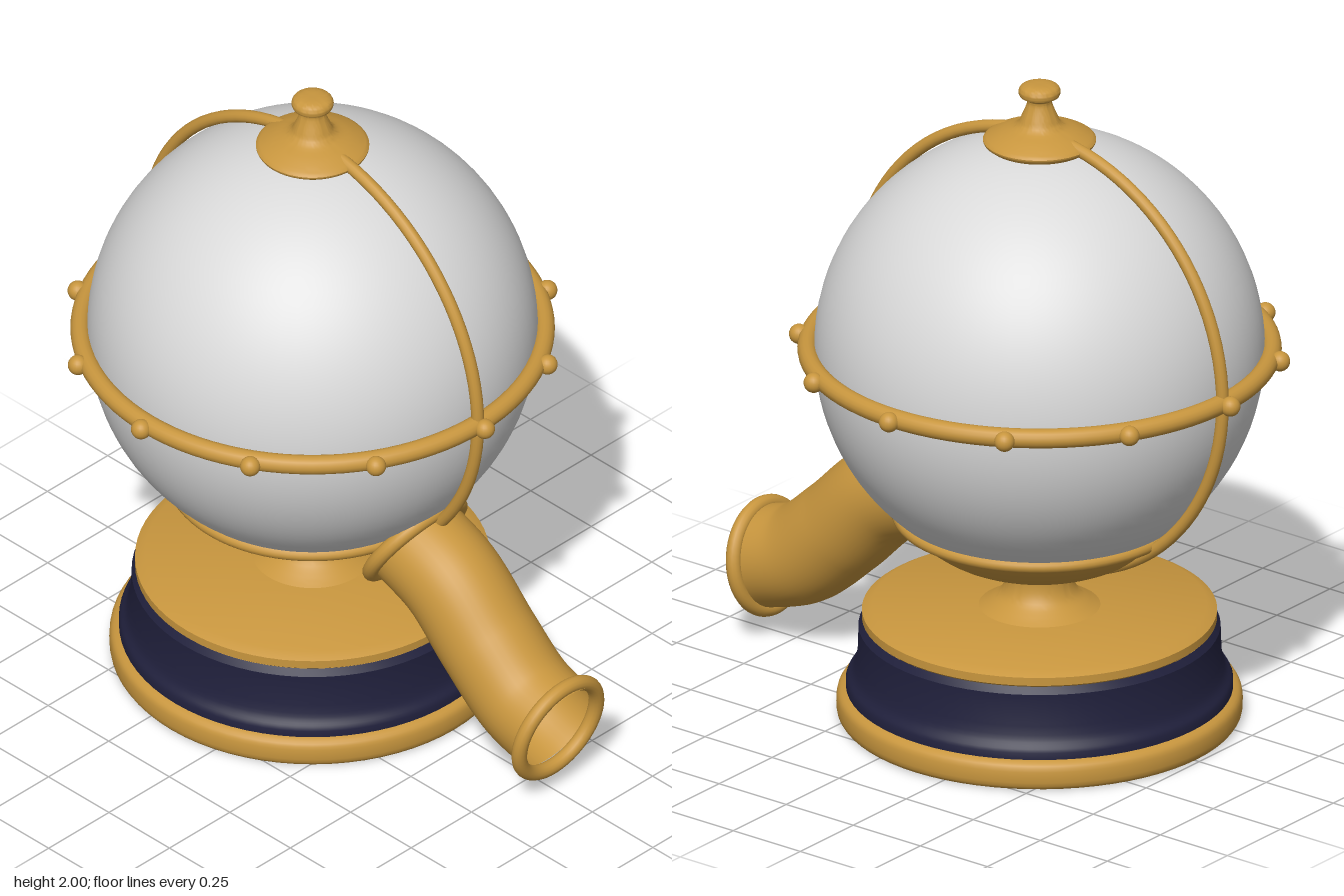
import * as THREE from 'three';
import { toCreasedNormals } from 'three/addons/utils/BufferGeometryUtils.js';

export function createModel() {
  const model = new THREE.Group();
  model.name = 'globeDispenser';

  const gold = new THREE.MeshStandardMaterial({ color: 0xc8963e, side: THREE.DoubleSide });
  gold.name = 'gold';
  const white = new THREE.MeshStandardMaterial({ color: 0xd9d9d9 });
  white.name = 'pale grey';
  const navy = new THREE.MeshStandardMaterial({ color: 0x20203c });
  navy.name = 'navy';

  const axisX = -0.155, globeY = 1.16;

  function add(name, geometry, material, x = axisX, y = 0, z = 0) {
    const mesh = new THREE.Mesh(geometry, material);
    mesh.name = name;
    mesh.position.set(x, y, z);
    model.add(mesh);
    return mesh;
  }
  const vecs = (pts) => pts.map(([x, y]) => new THREE.Vector2(x, y));
  const curved = (pts, n) => new THREE.SplineCurve(vecs(pts)).getPoints(n);
  const turned = (points) => toCreasedNormals(new THREE.LatheGeometry(points, 72), 0.6);

  // Stepped pedestal: gold foot, navy drum, gold top plate
  add('foot', turned([
    ...vecs([[0, 0], [0.575, 0]]),
    ...curved([[0.585, 0.004], [0.594, 0.02], [0.594, 0.06], [0.585, 0.08], [0.565, 0.09]], 10),
    ...vecs([[0, 0.09]]),
  ]), gold);
  add('drum', turned([
    ...vecs([[0.567, 0.085], [0.567, 0.11]]),
    ...curved([[0.562, 0.12], [0.545, 0.145], [0.533, 0.19]], 8),
    ...vecs([[0.53, 0.28], [0.515, 0.3]]),
  ]), navy);
  add('topPlate', turned(vecs([
    [0.4, 0.297], [0.51, 0.297], [0.52, 0.305], [0.52, 0.33], [0.49, 0.345], [0, 0.345],
  ])), gold);

  // Flared stem opening into the shallow bowl
  add('stem', turned(curved([
    [0.178, 0.345], [0.15, 0.362], [0.115, 0.39], [0.1, 0.43], [0.105, 0.475], [0.15, 0.5],
  ], 20)), gold);
  add('bowl', turned([
    ...curved([[0.09, 0.465], [0.19, 0.488], [0.29, 0.53], [0.36, 0.58], [0.385, 0.605]], 16),
    ...vecs([[0.41, 0.625], [0.41, 0.645]]),
  ]), gold);
  const rim = add('bowlRim', new THREE.TorusGeometry(0.414, 0.02, 14, 72), gold, axisX, 0.64);
  rim.rotation.x = Math.PI / 2;

  // Globe with its two hoops
  add('globe', new THREE.SphereGeometry(0.66, 72, 48), white, axisX, globeY);
  const equator = add('equatorHoop', new THREE.TorusGeometry(0.68, 0.029, 16, 96), gold, axisX, globeY);
  equator.rotation.x = Math.PI / 2;
  add('meridianHoop', new THREE.TorusGeometry(0.682, 0.019, 14, 96), gold, axisX, globeY);

  // Beads around the equator
  const bead = new THREE.SphereGeometry(0.03, 20, 14);
  for (let i = 0; i < 12; i++) {
    const a = i * Math.PI / 6;
    add('bead', bead, gold, axisX + Math.cos(a) * 0.711, globeY, Math.sin(a) * 0.711);
  }

  // Cap and finial
  add('cap', turned([
    ...vecs([[0, 1.805], [0.15, 1.805]]),
    ...curved([[0.163, 1.815], [0.163, 1.828], [0.12, 1.85], [0.07, 1.87], [0.052, 1.9],
      [0.036, 1.942], [0.042, 1.955]], 24),
    ...curved([[0.058, 1.962], [0.062, 1.975], [0.055, 1.99], [0.035, 1.998], [0, 2]], 12),
  ]), gold);

  // Curved spout with a collar at each end
  const path = new THREE.CatmullRomCurve3([
    [0.265, 0.615], [0.42, 0.545], [0.575, 0.4], [0.72, 0.28], [0.858, 0.232],
  ].map(([x, y]) => new THREE.Vector3(x, y, 0)));
  add('spout', new THREE.TubeGeometry(path, 48, 0.153, 40), gold, 0, 0);

  const forward = new THREE.Vector3(0, 0, 1);
  function facing(mesh, dx, dy) {
    mesh.quaternion.setFromUnitVectors(forward, new THREE.Vector3(dx, dy, 0).normalize());
  }
  facing(add('spoutInnerCollar', new THREE.TorusGeometry(0.163, 0.024, 14, 48), gold, 0.268, 0.613), 0.85, -0.53);
  facing(add('spoutInnerEnd', new THREE.CircleGeometry(0.16, 40), gold, 0.268, 0.613), 0.85, -0.53);
  facing(add('spoutMouthCollar', new THREE.TorusGeometry(0.158, 0.023, 14, 48), gold, 0.858, 0.232), 0.98, -0.17);

  return model;
}
